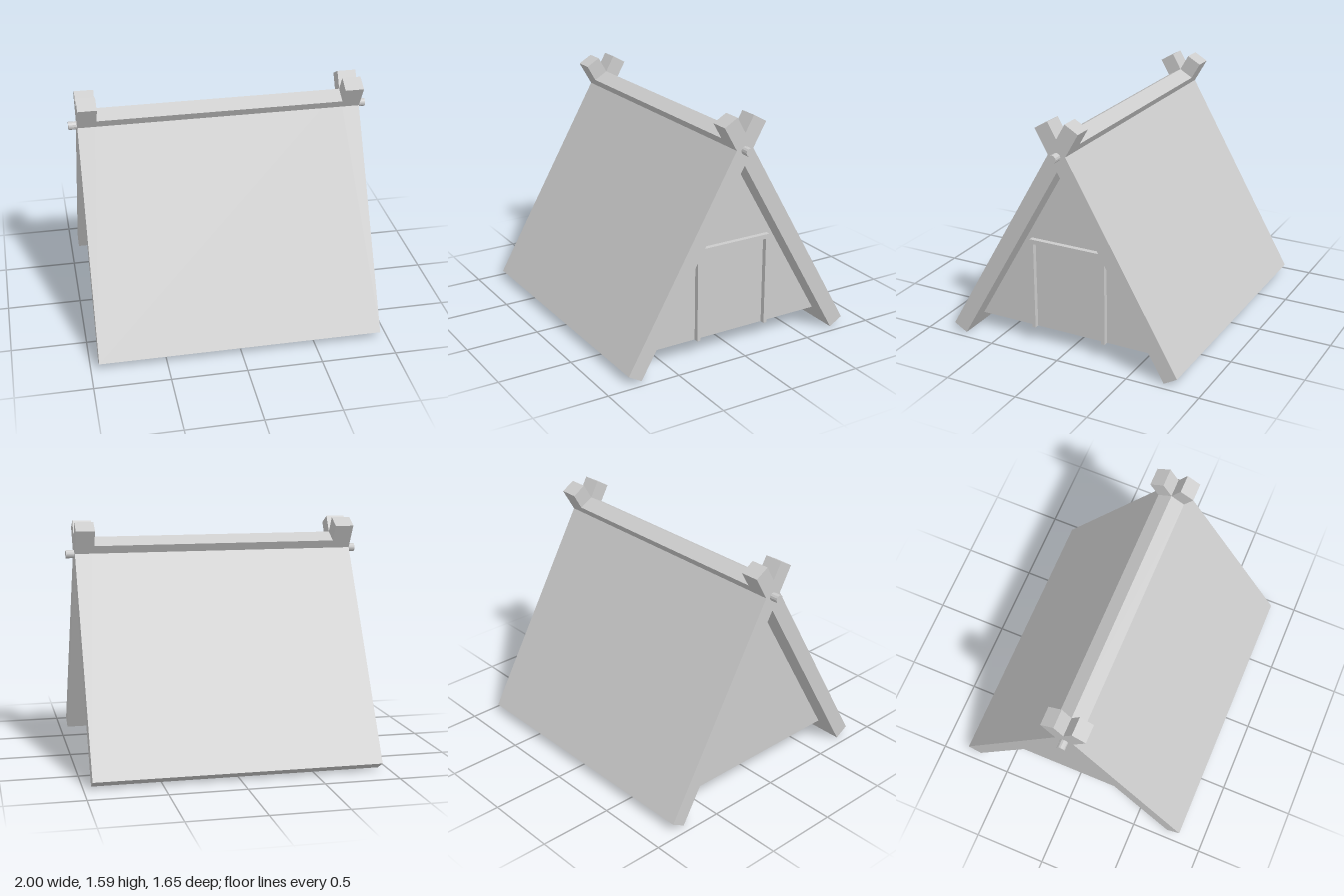
import * as THREE from 'three';

const HALF = 0.945;      // half length of the roof
const WALL = 0.82;       // gable position, also inner side of the rafter horns
const FOOT = 0.736;      // inner foot of each roof slab
const THICK = 0.105;
const TILT = Math.PI / 6;

export function createModel() {
  const model = new THREE.Group();
  const grey = new THREE.MeshStandardMaterial({ color: 0xcccccc, flatShading: true });
  const thin = new THREE.MeshStandardMaterial({ color: 0xcccccc, flatShading: true, side: THREE.DoubleSide });

  const add = (name, geometry, x = 0, y = 0, z = 0, material = grey) => {
    const mesh = new THREE.Mesh(geometry, material);
    mesh.name = name;
    mesh.position.set(x, y, z);
    model.add(mesh);
    return mesh;
  };
  const outline = (points) => new THREE.Shape(points.map(([x, y]) => new THREE.Vector2(x, y)));

  // Roof slabs: flat panels whose two ends run on past the ridge as crossed horns
  const ridge = (FOOT + THICK * Math.cos(TILT)) / Math.sin(TILT);
  const horn = ridge + 0.12;
  const slab = new THREE.ExtrudeGeometry(outline([
    [-HALF, 0], [HALF, 0], [HALF, horn], [WALL, horn],
    [WALL, ridge], [-WALL, ridge], [-WALL, horn], [-HALF, horn],
  ]), { depth: THICK, bevelEnabled: false });
  slab.rotateX(-TILT);
  slab.translate(0, 0, FOOT);
  add('frontRoof', slab);
  add('backRoof', slab).rotation.y = Math.PI;

  // Ridge pole poking out at both ends
  const pole = new THREE.CylinderGeometry(0.027, 0.027, 2, 12);
  pole.rotateZ(Math.PI / 2);
  add('ridgePole', pole, 0, 1.373, 0);

  // Thin gable walls, set in from the roof ends
  const base = 0.11;
  const apex = FOOT / Math.tan(TILT);
  const spread = FOOT - base * Math.tan(TILT);
  const gable = new THREE.ShapeGeometry(outline([[-spread, base], [spread, base], [0, apex]]));
  gable.rotateY(Math.PI / 2);
  add('rightGable', gable, WALL, 0, 0, thin);
  add('leftGable', gable, -WALL, 0, 0, thin).name = 'leftGable';

  // Door frame on the +x gable
  const frame = outline([
    [-0.271, base], [-0.246, base], [-0.246, 0.71], [0.246, 0.71],
    [0.246, base], [0.271, base], [0.271, 0.74], [-0.271, 0.74],
  ]);
  const door = new THREE.ExtrudeGeometry(frame, { depth: 0.045, bevelEnabled: false });
  door.rotateY(Math.PI / 2);
  add('doorFrame', door, WALL - 0.012, 0, 0);

  return model;
}
